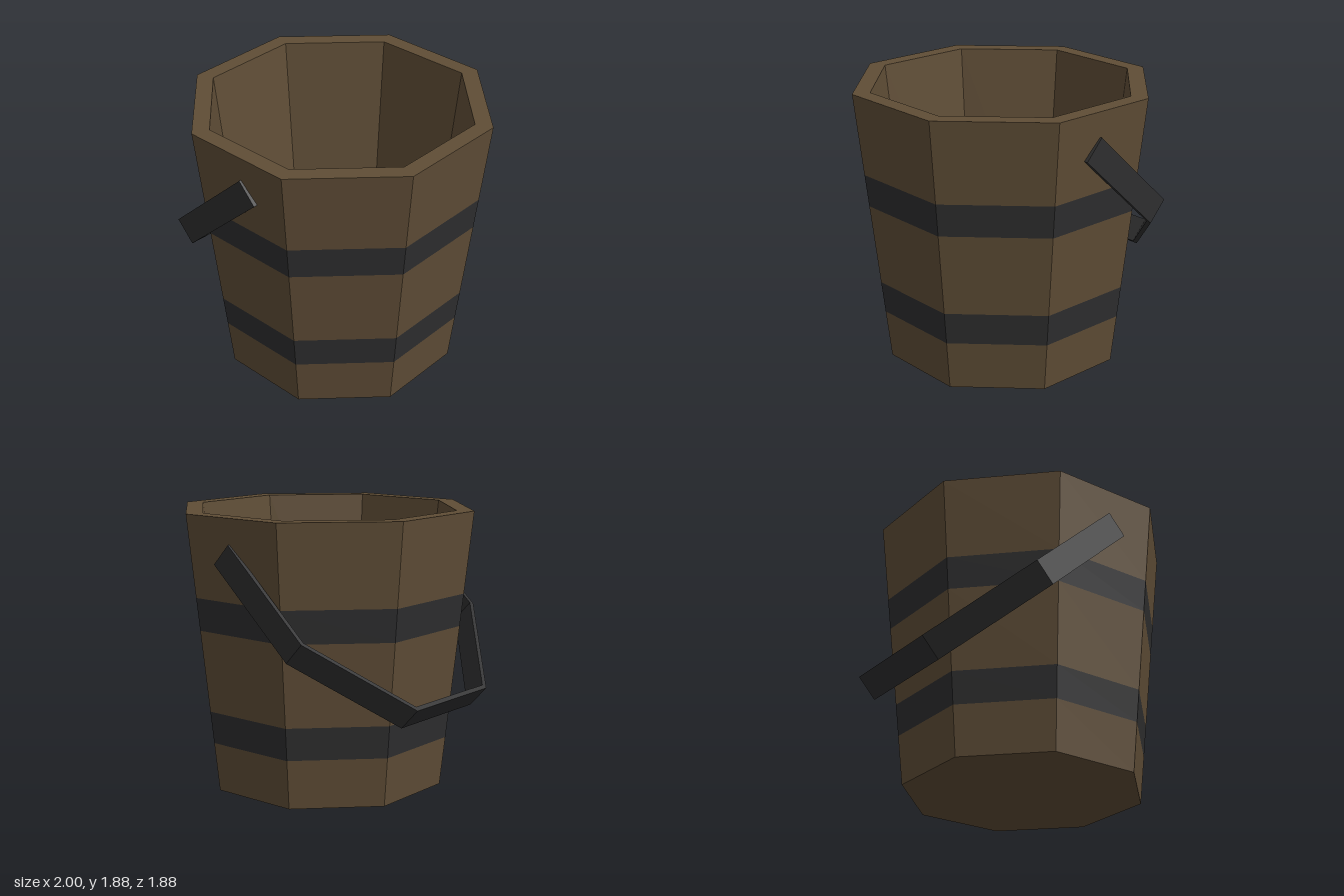
import * as THREE from 'three';

const HEIGHT = 1.88, CENTRE_X = 0.0625;
const SIDES = 8, HALF = Math.PI / SIDES;

export function createModel() {
  const wood = new THREE.MeshStandardMaterial({ name: 'wood', color: 0x5f4d36, flatShading: true });
  const iron = new THREE.MeshStandardMaterial({ name: 'darkIron', color: 0x2e2e2f, flatShading: true });
  const model = new THREE.Group();
  model.name = 'bucket';

  // Distance from the axis to an outer flat at a given height
  const flat = y => 0.75 + (0.1875 * y) / HEIGHT;
  const wall = y => [flat(y), y];

  // Eight-sided ring swept from [flat distance, height] points
  function addOctagon(name, profile, material) {
    const points = profile.map(([r, y]) => new THREE.Vector2(r / Math.cos(HALF), y));
    const mesh = new THREE.Mesh(new THREE.LatheGeometry(points, SIDES, HALF), material);
    mesh.name = name;
    mesh.position.x = CENTRE_X;
    model.add(mesh);
  }

  // Wooden body, split around the bands; the top part carries rim, inside and floor
  addOctagon('lowerStaves', [[0, 0], wall(0), wall(0.335)], wood);
  addOctagon('middleStaves', [wall(0.555), wall(1.11)], wood);
  addOctagon('upperStavesAndInside',
    [wall(1.33), wall(HEIGHT), [0.828, HEIGHT], [0.66, 0.19], [0, 0.19]], wood);

  // Iron bands, flush with the staves
  addOctagon('lowerBand', [wall(0.335), wall(0.555)], iron);
  addOctagon('upperBand', [wall(1.11), wall(1.33)], iron);

  // Handle: half-octagon strap, drawn along its length and across the bucket
  const outer = [[1.475, 0.935], [0.653, 0.935], [0, 0.388]];
  const inner = [[0.03, 0.374], [0.664, 0.905], [1.475, 0.905]];
  const mirrored = list => list.map(([s, z]) => [s, -z]).reverse();
  const outline = [...outer, ...mirrored(outer), ...mirrored(inner), ...inner];
  const strap = new THREE.ExtrudeGeometry(
    new THREE.Shape(outline.map(([s, z]) => new THREE.Vector2(s, z))),
    { depth: 0.182, bevelEnabled: false });

  // Lean the strap upward toward the bucket sides
  const along = new THREE.Vector3(1.085, 1, 0).normalize();
  const across = new THREE.Vector3(0, 0, 1);
  const width = new THREE.Vector3().crossVectors(along, across);
  strap.applyMatrix4(new THREE.Matrix4().makeBasis(along, across, width).setPosition(-1, 0.71, 0));
  const handle = new THREE.Mesh(strap, iron);
  handle.name = 'handle';
  model.add(handle);

  return model;
}
